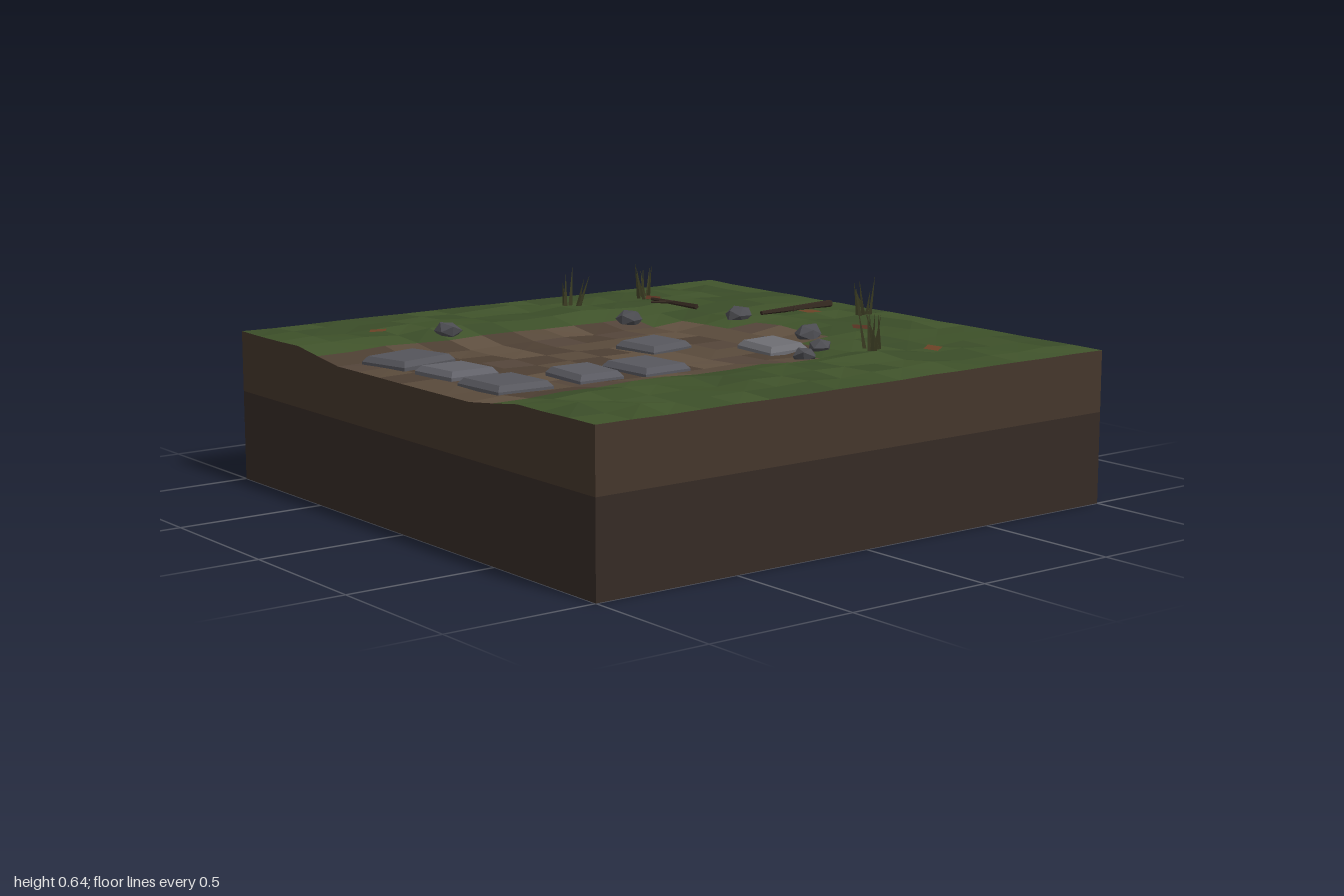
import * as THREE from 'three';

const N = 16, CELL = 2 / N;

// Repeatable random number in 0..1 from two grid coordinates
function hash(a, b = 0) {
  const s = Math.sin(a * 127.1 + b * 311.7 + 4.3) * 43758.5453;
  return s - Math.floor(s);
}

const mat = (color, side = THREE.FrontSide) =>
  new THREE.MeshStandardMaterial({ color, side, flatShading: true });

function add(parent, name, geometry, material) {
  const mesh = new THREE.Mesh(geometry, material);
  mesh.name = name;
  parent.add(mesh);
  return mesh;
}

function fromTriangles(points) {
  const g = new THREE.BufferGeometry();
  g.setAttribute('position', new THREE.Float32BufferAttribute(points.flat(), 3));
  g.computeVertexNormals();
  return g;
}

// Ground height at a grid corner: bumpy grass with a sunken path
function cornerHeight(i, j) {
  const x = -1 + i * CELL, z = -1 + j * CELL;
  const inX = THREE.MathUtils.clamp((0.6 - Math.abs(x)) / 0.2, 0, 1);
  const inZ = THREE.MathUtils.clamp((z + 0.55) / 0.3, 0, 1);
  const border = i === 0 || j === 0 || i === N || j === N;
  const dip = inX * inZ;
  const bump = border ? 0.003 * hash(i, j) : 0.014 * hash(i, j);
  return 0.5 - 0.03 * dip + bump * (1 - 0.5 * dip);
}

// Ground height anywhere, for placing things
function groundAt(x, z) {
  const u = (x + 1) / CELL, v = (z + 1) / CELL;
  const i = Math.min(N - 1, Math.floor(u)), j = Math.min(N - 1, Math.floor(v));
  const a = THREE.MathUtils.lerp(cornerHeight(i, j), cornerHeight(i + 1, j), u - i);
  const b = THREE.MathUtils.lerp(cornerHeight(i, j + 1), cornerHeight(i + 1, j + 1), u - i);
  return THREE.MathUtils.lerp(a, b, v - j);
}

// The path narrows in steps at its far end
function isPath(i, j) {
  if (j < 4) return false;
  if (j === 4) return i >= 7 && i < 10;
  if (j === 5) return i >= 5 && i < 11;
  return i >= 4 && i < 12;
}

function buildGround(group) {
  const tints = {
    grass: [0x3d5029, 0x3a4c28, 0x40532b],
    dirtPath: [0x594a3b, 0x4d3f33, 0x54453a, 0x605040],
  };
  const corner = (i, j) => [-1 + i * CELL, cornerHeight(i, j), -1 + j * CELL];
  const buckets = {};
  for (let i = 0; i < N; i++) for (let j = 0; j < N; j++) {
    const kind = isPath(i, j) ? 'dirtPath' : 'grass';
    const k = Math.floor(hash(i + 31, j + 17) * tints[kind].length);
    const tris = ((buckets[kind] ??= [])[k] ??= []);
    const a = corner(i, j), b = corner(i, j + 1), c = corner(i + 1, j + 1), d = corner(i + 1, j);
    if (hash(i + 5, j + 9) < 0.5) tris.push(a, b, c, a, c, d);
    else tris.push(a, b, d, b, c, d);
  }
  for (const kind in buckets) {
    buckets[kind].forEach((t, k) => add(group, kind + (k + 1), fromTriangles(t), mat(tints[kind][k])));
  }

  // Topsoil skirt follows the edge of the ground
  const rim = [];
  for (let k = 0; k < N; k++) rim.push([k, N]);
  for (let k = 0; k < N; k++) rim.push([N, N - k]);
  for (let k = 0; k < N; k++) rim.push([N - k, 0]);
  for (let k = 0; k < N; k++) rim.push([0, k]);
  const skirt = [];
  rim.forEach((p, k) => {
    const a = corner(...p), b = corner(...rim[(k + 1) % rim.length]);
    const a0 = [a[0], 0.3, a[2]], b0 = [b[0], 0.3, b[2]];
    skirt.push(a0, b0, b, a0, b, a);
  });
  add(group, 'topsoil', fromTriangles(skirt), mat(0x44362b));
  add(group, 'subsoil', new THREE.BoxGeometry(2, 0.3, 2), mat(0x352a25)).position.y = 0.15;
}

// Flat slab with a bevelled top edge
function slabGeometry(w, d) {
  const h = 0.035, bevel = 0.014;
  const g = new THREE.BoxGeometry(w, h, d, 1, 2, 1), p = g.attributes.position;
  for (let i = 0; i < p.count; i++) {
    if (p.getY(i) > 0.01) {
      p.setX(i, p.getX(i) - Math.sign(p.getX(i)) * bevel);
      p.setZ(i, p.getZ(i) - Math.sign(p.getZ(i)) * bevel);
    }
  }
  return g;
}

// Squashed, slightly irregular pebble
function rockGeometry(r, seed) {
  const g = new THREE.IcosahedronGeometry(r, 0), p = g.attributes.position;
  for (let i = 0; i < p.count; i++) {
    const x = p.getX(i), y = p.getY(i), z = p.getZ(i);
    const s = 0.85 + 0.3 * hash(Math.round(x / r * 9) + seed * 7, Math.round(y / r * 9) + Math.round(z / r * 9) * 3);
    p.setXYZ(i, x * s, y * s * 0.7, z * s);
  }
  return g;
}

// Tapered rod between two points
function rod(parent, name, from, to, r0, r1, sides, material) {
  const a = new THREE.Vector3(...from), b = new THREE.Vector3(...to);
  const dir = b.clone().sub(a);
  const mesh = add(parent, name, new THREE.CylinderGeometry(r1, r0, dir.length(), sides), material);
  mesh.position.copy(a).add(b).multiplyScalar(0.5);
  mesh.quaternion.setFromUnitVectors(new THREE.Vector3(0, 1, 0), dir.normalize());
}

export function createModel() {
  const model = new THREE.Group();
  model.name = 'groundTile';
  buildGround(model);

  // Stepping stones: x, z, width, depth, turn, colour
  [
    [0.24, -0.265, 0.175, 0.15, -0.03, 0x6d6d73],
    [-0.027, 0.015, 0.17, 0.18, 0.17, 0x57575d],
    [0.28, 0.28, 0.215, 0.18, 0.05, 0x57575e],
    [0.265, 0.505, 0.195, 0.16, -0.04, 0x5a5a61],
    [-0.275, 0.8, 0.2, 0.215, 0.17, 0x55555b],
    [-0.02, 0.785, 0.18, 0.185, 0.1, 0x626269],
    [0.255, 0.79, 0.22, 0.2, 0, 0x57575d],
  ].forEach(([x, z, w, d, turn, color], k) => {
    const slab = add(model, 'steppingStone' + (k + 1), slabGeometry(w, d), mat(color));
    slab.position.set(x, groundAt(x, z) + 0.01, z);
    slab.rotation.set((hash(k, 1) - 0.5) * 0.06, turn, (hash(k, 2) - 0.5) * 0.06);
  });

  // Rocks beside the path: x, z, radius
  [
    [-0.215, -0.495, 0.047], [0.2, -0.455, 0.05], [0.37, -0.355, 0.042], [0.455, -0.22, 0.042],
    [0.14, -0.31, 0.024], [-0.46, -0.21, 0.047], [-0.555, 0.475, 0.047],
  ].forEach(([x, z, r], k) => {
    const rock = add(model, 'rock' + (k + 1), rockGeometry(r, k), mat(0x4c4c51));
    rock.position.set(x, groundAt(x, z) + r * 0.25, z);
    rock.rotation.y = k * 1.3;
  });

  // Tufts of dry grass: x, z, number of blades
  const bladeMat = mat(0x3a3b22);
  [
    [-0.78, -0.52, 7], [-0.775, -0.185, 5], [0.02, -0.87, 7], [0.52, -0.45, 5], [0.57, -0.395, 3],
  ].forEach(([x, z, count], t) => {
    const tuft = new THREE.Group();
    tuft.name = 'grassTuft' + (t + 1);
    model.add(tuft);
    for (let k = 0; k < count; k++) {
      const bx = x + (hash(t, k) - 0.5) * 0.06, bz = z + (hash(t + 9, k) - 0.5) * 0.06;
      const y = groundAt(bx, bz), h = 0.075 + 0.055 * hash(t + 20, k);
      const tip = [bx + (hash(t + 30, k) - 0.5) * 0.07, y + h, bz + (hash(t + 40, k) - 0.5) * 0.07];
      rod(tuft, 'blade', [bx, y - 0.01, bz], tip, 0.009, 0.0005, 4, bladeMat);
    }
  });

  // Fallen twigs with a side shoot: from x, z to x, z, start and end radius
  const twigMat = mat(0x33281f);
  [
    [-0.205, -0.905, -0.183, -0.57, 0.014, 0.007], [-0.19, -0.73, -0.135, -0.675, 0.006, 0.004],
    [-0.46, -0.505, -0.67, -0.465, 0.01, 0.006], [-0.565, -0.485, -0.615, -0.42, 0.006, 0.004],
  ].forEach(([x0, z0, x1, z1, r0, r1], k) => {
    rod(model, k % 2 ? 'twigShoot' : 'twig', [x0, groundAt(x0, z0) + 0.012, z0],
      [x1, groundAt(x1, z1) + 0.012, z1], r0, r1, 5, twigMat);
  });

  // Fallen leaves: x, z, turn
  const leafShape = new THREE.Shape([[-0.045, 0], [0, -0.032], [0.045, 0], [0, 0.032]].map(p => new THREE.Vector2(...p)));
  const leafGeometry = new THREE.ShapeGeometry(leafShape).rotateX(-Math.PI / 2);
  [
    [-0.1, -0.72, 0.75], [0.245, -0.645, 0], [0.72, -0.525, -0.4], [-0.695, -0.49, -0.1], [-0.675, 0.67, 1.9],
  ].forEach(([x, z, turn], k) => {
    const leaf = add(model, 'leaf' + (k + 1), leafGeometry, mat([0x6b4226, 0x573222][k % 2], THREE.DoubleSide));
    leaf.position.set(x, groundAt(x, z) + 0.011, z);
    leaf.rotation.set(0.05, turn, -0.05);
  });

  return model;
}
